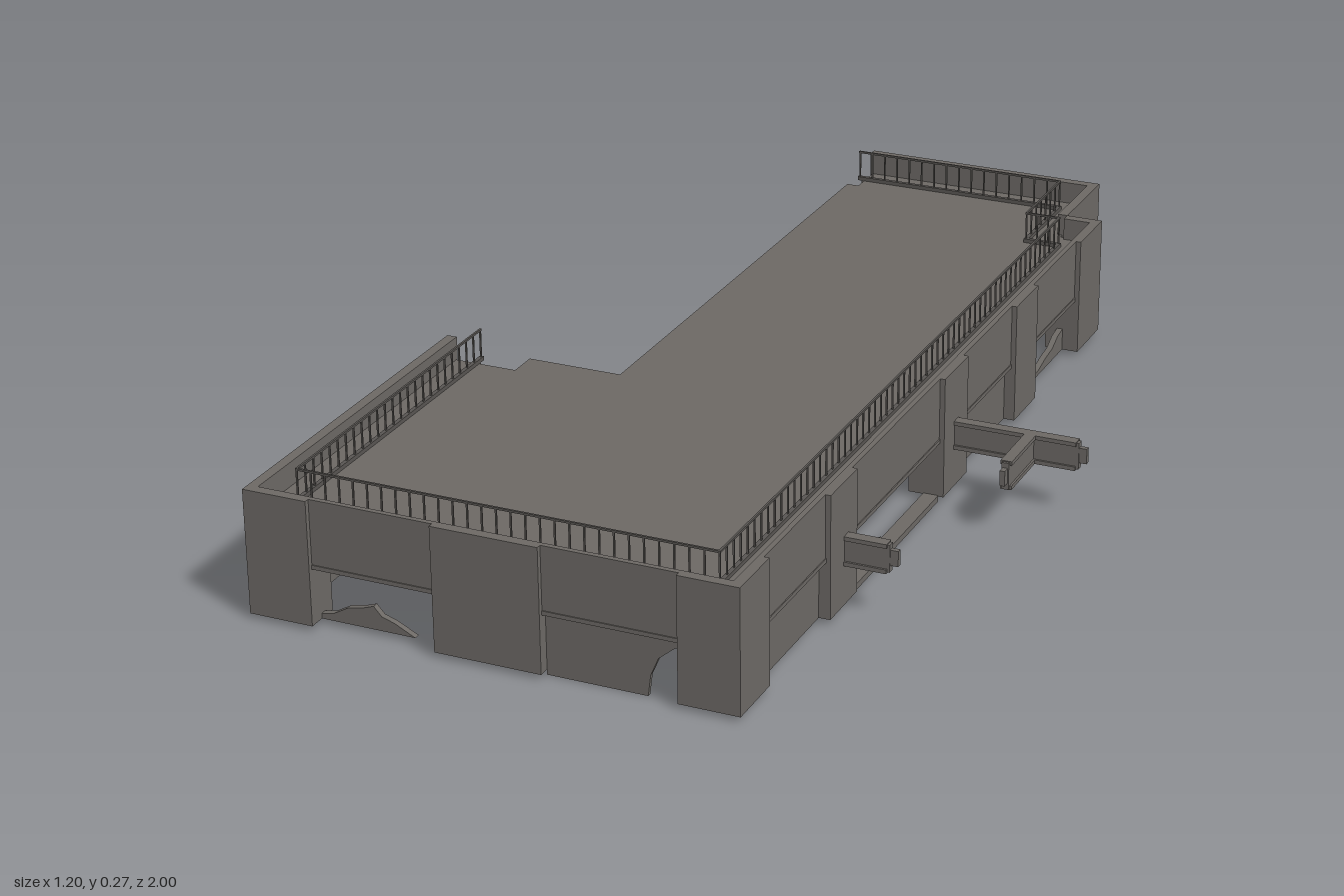
import * as THREE from 'three';

const concrete = new THREE.MeshStandardMaterial({ color: 0x6d6965 });
concrete.name = 'concrete';
const metal = new THREE.MeshStandardMaterial({ color: 0x595653 });
metal.name = 'railing metal';

const BOTTOM = 0.01, TOP = 0.25, DECK = 0.205, THICK = 0.07;

// Box given by its minimum and maximum corners
function box(parent, name, x0, x1, y0, y1, z0, z1, mat = concrete) {
  const m = new THREE.Mesh(new THREE.BoxGeometry(x1 - x0, y1 - y0, z1 - z0), mat);
  m.position.set((x0 + x1) / 2, (y0 + y1) / 2, (z0 + z1) / 2);
  m.name = name;
  parent.add(m);
  return m;
}

// Flat plate extruded from an outline of [x, y] points
function plate(parent, name, points, depth, z, mat = concrete) {
  const shape = new THREE.Shape(points.map(p => new THREE.Vector2(p[0], p[1])));
  const geo = new THREE.ExtrudeGeometry(shape, { depth, bevelEnabled: false });
  const m = new THREE.Mesh(geo, mat);
  m.position.z = z;
  m.name = name;
  parent.add(m);
  return m;
}

// Hollow wall along local x, outside facing +z at z = 0.
// Each bay is { a, b, top, panel, rubble, sill }; trims shorten the inner skin.
function wall(parent, name, a, b, trimA, trimB, bays) {
  const g = new THREE.Group();
  g.name = name;
  parent.add(g);
  let start = a;
  const ends = [...bays, { a: b, b }];
  ends.forEach((bay, i) => {
    box(g, 'pier', start, bay.a, BOTTOM, TOP, -0.02, 0);
    const i0 = Math.max(start, a + trimA), i1 = Math.min(bay.a, b - trimB);
    if (i1 > i0) box(g, 'innerSkin', i0, i1, BOTTOM, DECK, -THICK, -THICK + 0.008);
    start = bay.b;
    if (i === bays.length) return;
    // recessed wall over the opening, soffit and jambs
    box(g, 'bayHead', bay.a, bay.b, bay.top, TOP, -0.02, -0.01);
    box(g, 'innerHead', bay.a, bay.b, bay.top, DECK, -THICK, -THICK + 0.008);
    box(g, 'soffit', bay.a, bay.b, bay.top, bay.top + 0.008, -THICK, -0.008);
    box(g, 'jamb', bay.a - 0.006, bay.a, BOTTOM, DECK, -THICK, -0.002);
    box(g, 'jamb', bay.b, bay.b + 0.006, BOTTOM, DECK, -THICK, -0.002);
    if (bay.sill) box(g, 'sill', bay.a, bay.b, 0, 0.012, -0.04, -0.01);
    if (bay.panel) plate(g, 'shutter', bay.panel, 0.008, -0.03);
    if (bay.rubble) plate(g, 'rubble', bay.rubble, 0.012, -0.045);
  });
  return g;
}

const rect = (a, b, y0, y1) => [[a, y0], [b, y0], [b, y1], [a, y1]];

function buildWalls(root) {
  wall(root, 'frontWall', -0.6, 0.34, THICK, THICK, [
    { a: -0.475, b: -0.235, top: 0.117,
      rubble: [[-0.475, 0.01], [-0.29, 0.01], [-0.33, 0.03], [-0.355, 0.038], [-0.37, 0.055],
        [-0.39, 0.048], [-0.42, 0.042], [-0.45, 0.025], [-0.475, 0.02]] },
    { a: -0.03, b: 0.225, top: 0.12,
      panel: [[-0.03, 0], [0.16, 0], [0.165, 0.04], [0.18, 0.075], [0.21, 0.1], [0.225, 0.105],
        [0.225, 0.12], [-0.03, 0.12]] },
  ]).position.z = 1;

  // local x runs towards -z on this side
  const right = wall(root, 'rightWall', -1, 0.8, THICK, 0, [
    { a: -0.88, b: -0.62, top: 0.12, panel: rect(-0.88, -0.62, 0.01, 0.12) },
    { a: -0.5, b: -0.08, top: 0.12, sill: true,
      rubble: [[-0.5, 0.01], [-0.28, 0.01], [-0.31, 0.018], [-0.38, 0.025], [-0.44, 0.04],
        [-0.47, 0.062], [-0.5, 0.07]] },
    { a: 0.04, b: 0.3, top: 0.12, panel: rect(0.04, 0.3, 0.01, 0.12) },
    { a: 0.42, b: 0.67, top: 0.12,
      rubble: [[0.43, 0.01], [0.67, 0.01], [0.67, 0.055], [0.64, 0.05], [0.61, 0.035],
        [0.57, 0.03], [0.53, 0.02]] },
  ]);
  right.position.x = 0.34;
  right.rotation.y = Math.PI / 2;

  // stepped corner at the back right
  const step = wall(root, 'stepWall', -0.34, -0.265, 0, 0, []);
  step.position.z = -0.8;
  step.rotation.y = Math.PI;
  const side = wall(root, 'stepSideWall', 0.8, 1, 0, THICK, []);
  side.position.x = 0.265;
  side.rotation.y = Math.PI / 2;
  box(side, 'sideDoor', 0.88, 0.93, 0.01, 0.12, 0, 0.003);

  const back = wall(root, 'backWall', -0.265, 0.245, THICK, -0.005, []);
  back.position.z = -1;
  back.rotation.y = Math.PI;

  const left = wall(root, 'leftWall', 0.26, 1, -0.01, THICK, []);
  left.position.x = -0.6;
  left.rotation.y = -Math.PI / 2;
}

// Roof slab, open along the left side
function buildDeck(root) {
  const deck = plate(root, 'roofDeck', [[-0.24, -0.99], [0.255, -0.99], [0.255, -0.79], [0.33, -0.79],
    [0.33, 0.99], [-0.59, 0.99], [-0.59, 0.265], [-0.455, 0.265], [-0.455, 0.205],
    [-0.265, 0.205], [-0.265, -0.9], [-0.24, -0.9]], 0.015, 0);
  deck.rotation.x = Math.PI / 2;
  deck.position.y = DECK;
}

// Railing following the roof edge
function buildRailing(root) {
  const g = new THREE.Group();
  g.name = 'railing';
  root.add(g);
  const path = [[-0.25, -0.935], [0.2, -0.935], [0.2, -0.735], [0.27, -0.735],
    [0.27, 0.925], [-0.535, 0.925], [-0.535, 0.25]];
  const r = 0.002;
  for (let i = 0; i < path.length - 1; i++) {
    const [x0, z0] = path[i], [x1, z1] = path[i + 1];
    const ax = Math.min(x0, x1) - r, bx = Math.max(x0, x1) + r;
    const az = Math.min(z0, z1) - r, bz = Math.max(z0, z1) + r;
    box(g, 'topRail', ax, bx, 0.266, 0.27, az, bz, metal);
    box(g, 'kerb', ax - 0.002, bx + 0.002, DECK, DECK + 0.008, az - 0.002, bz + 0.002, metal);
    const n = Math.max(2, Math.round(Math.hypot(x1 - x0, z1 - z0) / 0.028));
    for (let k = 0; k <= n; k++) {
      const x = x0 + (x1 - x0) * k / n, z = z0 + (z1 - z0) * k / n;
      box(g, 'railPost', x - 0.0015, x + 0.0015, DECK, 0.268, z - 0.0015, z + 0.0015, metal);
    }
  }
}

// Broken beams sticking out of the right side: I-section with a tapered stub
function beam(root, name, length, x, z, turn) {
  const g = new THREE.Group();
  g.name = name;
  g.position.set(x, 0, z);
  g.rotation.y = turn;
  root.add(g);
  box(g, 'beamWeb', 0, length - 0.015, 0.09, 0.143, -0.007, 0.007);
  box(g, 'beamTopFlange', 0, length - 0.02, 0.137, 0.145, -0.011, 0.011);
  box(g, 'beamBottomFlange', 0, length - 0.02, 0.088, 0.096, -0.011, 0.011);
  box(g, 'beamStub', length - 0.02, length, 0.103, 0.133, -0.005, 0.005);
}

export function createModel() {
  const root = new THREE.Group();
  root.name = 'building';
  buildWalls(root);
  buildDeck(root);
  buildRailing(root);
  beam(root, 'longBeam', 0.27, 0.33, 0.02, 0);
  beam(root, 'crossBeam', 0.155, 0.49, 0.02, -Math.PI / 2);
  beam(root, 'shortBeam', 0.11, 0.33, 0.55, 0);
  return root;
}
